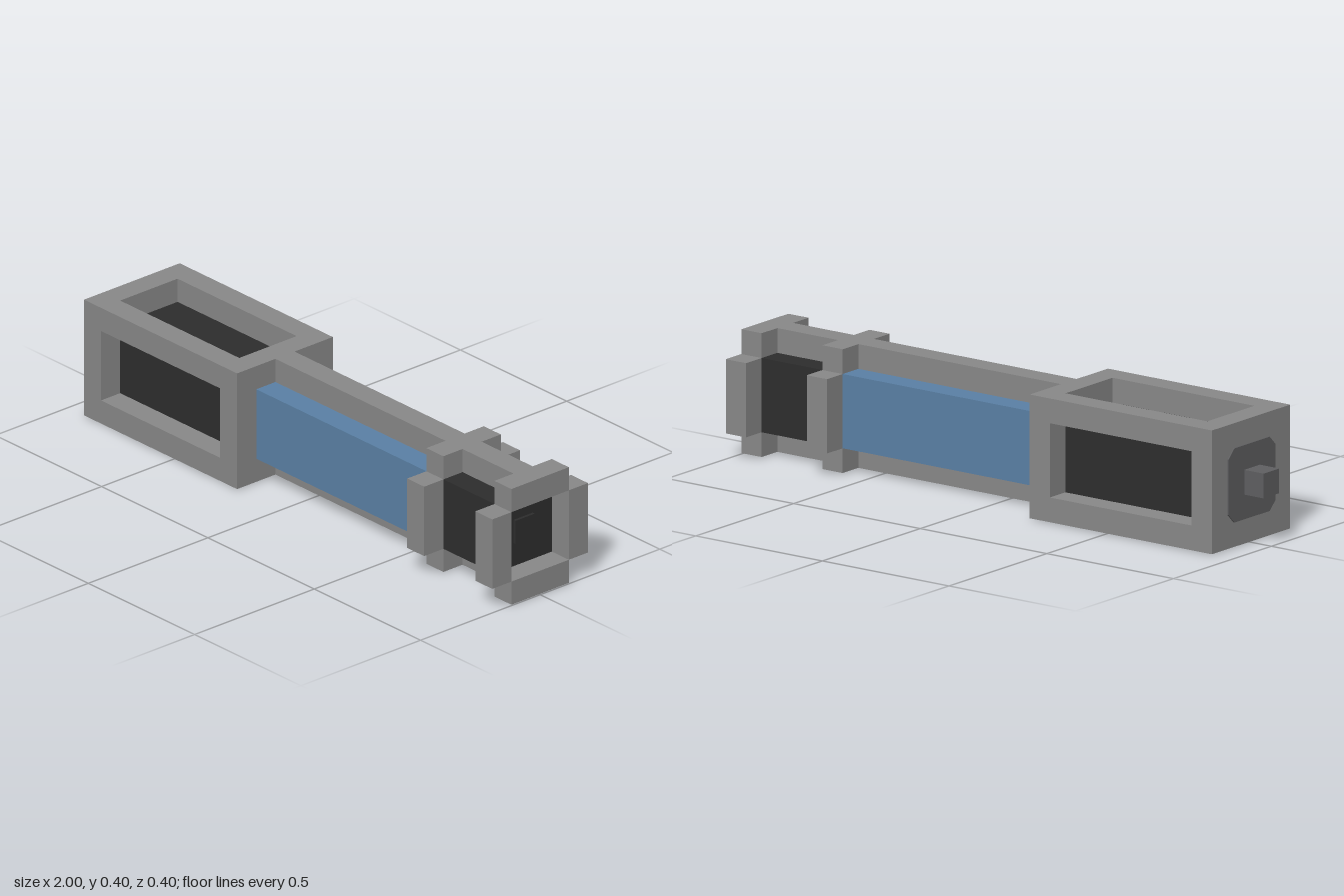
import * as THREE from 'three';

const grey = new THREE.MeshStandardMaterial({ name: 'grey metal', color: 0x888888 });
const darkGrey = new THREE.MeshStandardMaterial({ name: 'dark grey metal', color: 0x5f5f61 });
const black = new THREE.MeshStandardMaterial({ name: 'black core', color: 0x2d2d2d });
const blue = new THREE.MeshStandardMaterial({ name: 'blue grip', color: 0x5a80a5 });

const MID = 0.2; // height of the long axis

// Box given by its x range, then y and z ranges measured from the long axis
function block(parent, name, material, [x0, x1], [y0, y1], [z0, z1]) {
  const mesh = new THREE.Mesh(new THREE.BoxGeometry(x1 - x0, y1 - y0, z1 - z0), material);
  mesh.position.set((x0 + x1) / 2, MID + (y0 + y1) / 2, (z0 + z1) / 2);
  mesh.name = name;
  parent.add(mesh);
  return mesh;
}

// Thin plate with clipped corners, facing +z before it is turned
function clippedPlate(w, h, cut, depth) {
  const a = w / 2, b = h / 2;
  const points = [
    [-a + cut, -b], [a - cut, -b], [a, -b + cut], [a, b - cut],
    [a - cut, b], [-a + cut, b], [-a, b - cut], [-a, -b + cut],
  ].map(([x, y]) => new THREE.Vector2(x, y));
  return new THREE.ExtrudeGeometry(new THREE.Shape(points), { depth, bevelEnabled: false });
}

export function createModel() {
  const model = new THREE.Group();
  model.name = 'model';
  const core = [-0.12, 0.12], full = [-0.2, 0.2];

  // Housing: solid ends and floor, four long edges, black core in the windows
  const housing = new THREE.Group();
  housing.name = 'housing';
  model.add(housing);
  block(housing, 'housingRearEnd', grey, [-0.92, -0.84], full, full);
  block(housing, 'housingFrontEnd', grey, [-0.28, -0.2], full, full);
  block(housing, 'housingFloor', grey, [-0.84, -0.28], [-0.2, -0.12], full);
  for (const [z0, z1] of [[-0.2, -0.12], [0.12, 0.2]]) {
    block(housing, 'housingTopEdge', grey, [-0.84, -0.28], [0.12, 0.2], [z0, z1]);
  }
  block(housing, 'housingCore', black, [-0.84, -0.28], core, core);

  const floorPlate = new THREE.Mesh(clippedPlate(0.56, 0.24, 0.03, 0.004), black);
  floorPlate.name = 'floorPlate';
  floorPlate.rotation.x = Math.PI / 2;
  floorPlate.position.set(-0.56, 0.001, 0);
  housing.add(floorPlate);

  const endPlate = new THREE.Mesh(clippedPlate(0.24, 0.24, 0.03, 0.004), darkGrey);
  endPlate.name = 'endPlate';
  endPlate.rotation.y = -Math.PI / 2;
  endPlate.position.set(-0.92, MID, 0);
  housing.add(endPlate);
  block(housing, 'rearStub', darkGrey, [-1, -0.92], [-0.04, 0.04], [-0.04, 0.04]);

  // Grip and front core
  block(model, 'grip', blue, [-0.2, 0.6], core, core);
  block(model, 'frontCore', black, [0.6, 0.92], core, core);
  block(model, 'frontStub', black, [0.92, 0.93], [-0.04, 0.04], [-0.04, 0.04]);

  // Spines along the top and underside
  for (const [y0, y1] of [[-0.2, -0.12], [0.12, 0.2]]) {
    block(model, 'spine', grey, [-0.2, 0.6], [y0, y1], [-0.04, 0.04]);
    block(model, 'frontSpine', grey, [0.68, 0.92], [y0, y1], [-0.04, 0.04]);
  }

  // Collars: four bars around the core, with open corners
  for (const x of [[0.6, 0.68], [0.92, 1]]) {
    const collar = new THREE.Group();
    collar.name = 'collar';
    model.add(collar);
    for (const side of [[-0.2, -0.12], [0.12, 0.2]]) {
      block(collar, 'collarCrossBar', grey, x, side, core);
      block(collar, 'collarSideBar', grey, x, core, side);
    }
  }
  return model;
}
